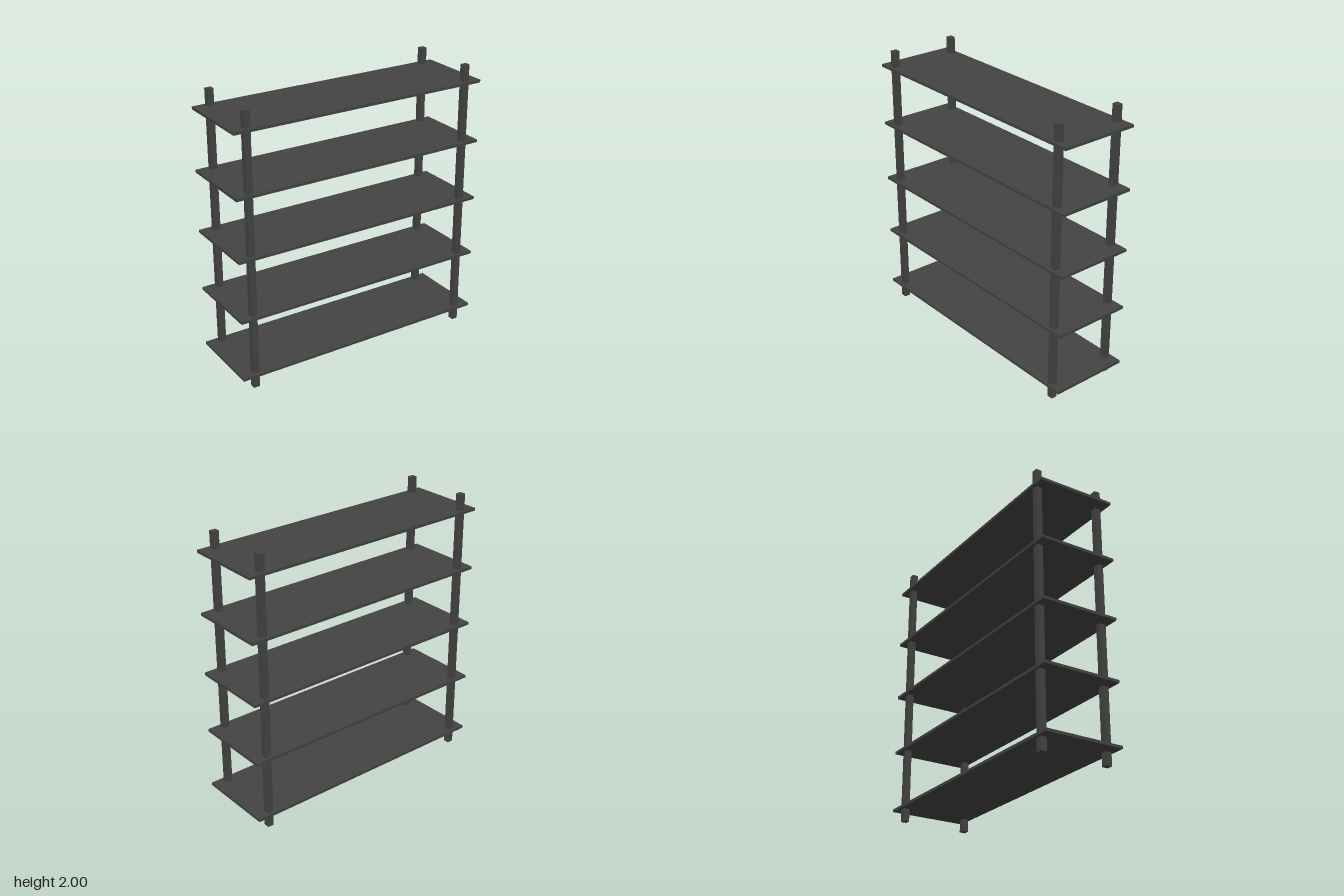
import * as THREE from 'three';

export function createModel() {
  const group = new THREE.Group();
  group.name = 'shelvingUnit';
  const charcoal = new THREE.MeshStandardMaterial({ color: 0x444444 });
  charcoal.name = 'charcoal';

  const addBox = (name, w, h, d, x, y, z) => {
    const mesh = new THREE.Mesh(new THREE.BoxGeometry(w, h, d), charcoal);
    mesh.name = name;
    mesh.position.set(x, y, z);
    group.add(mesh);
  };

  // Four square corner posts
  for (const [side, x] of [['Left', 0.855], ['Right', -0.855]]) {
    for (const [end, z] of [['front', 0.245], ['back', -0.245]]) {
      addBox(`${end}${side}Post`, 0.045, 2, 0.043, x, 1, z);
    }
  }

  // Five evenly spaced thin shelves, pierced by the posts
  for (let i = 0; i < 5; i++) {
    addBox(`shelf${i + 1}`, 1.926, 0.02, 0.576, 0, 0.102 + i * 0.4425, 0);
  }

  return group;
}
